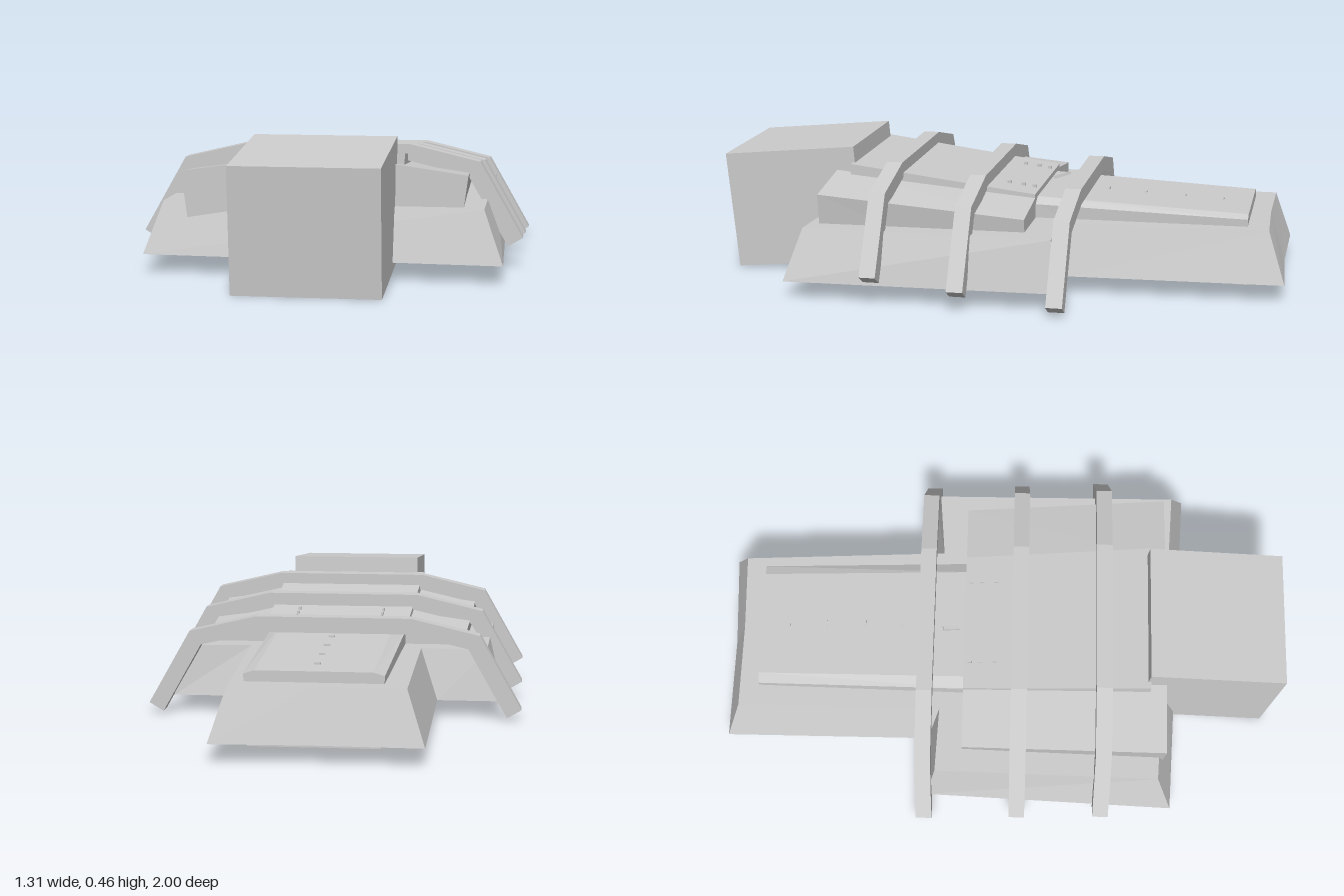
import * as THREE from 'three';

const grey = new THREE.MeshStandardMaterial({ color: 0xcccccc });
grey.name = 'plain grey';

// Solid between two matching loops, counter-clockwise when seen from loop b's end.
// flat() projects a point to the plane of the caps.
function loft(a, b, flat) {
  const pos = [];
  const tri = (p, q, r) => pos.push(...p, ...q, ...r);
  const n = a.length;
  for (let i = 0; i < n; i++) {
    const j = (i + 1) % n;
    tri(a[i], a[j], b[j]);
    tri(a[i], b[j], b[i]);
  }
  const cap = (loop, up) => {
    const pts = loop.map(flat);
    for (const [i, j, k] of THREE.ShapeUtils.triangulateShape(pts, [])) {
      const ccw = THREE.ShapeUtils.area([pts[i], pts[j], pts[k]]) > 0;
      if (ccw === up) tri(loop[i], loop[j], loop[k]);
      else tri(loop[i], loop[k], loop[j]);
    }
  };
  cap(a, false);
  cap(b, true);
  const g = new THREE.BufferGeometry();
  g.setAttribute('position', new THREE.Float32BufferAttribute(pos, 3));
  g.computeVertexNormals();
  return g;
}
const fromAbove = (p) => new THREE.Vector2(p[0], -p[2]);
const fromFront = (p) => new THREE.Vector2(p[0], p[1]);

// Symmetric cross-section from its right half, listed bottom to top
function section(half, z) {
  const right = half.map(([x, y]) => [x, y, z]);
  const left = half.map(([x, y]) => [-x, y, z]).reverse();
  return [...right, ...left];
}

export function createModel() {
  const group = new THREE.Group();
  const add = (name, geo) => {
    const m = new THREE.Mesh(geo, grey);
    m.name = name;
    group.add(m);
    return m;
  };
  const box = (name, w, h, d, x, y, z, rx = 0, ry = 0) => {
    const m = add(name, new THREE.BoxGeometry(w, h, d));
    m.position.set(x, y, z);
    m.rotation.set(rx, ry, 0);
    return m;
  };

  // Bevelled T-shaped base, slightly skewed
  const bottom = [[-0.605, 0.62], [0.60, 0.68], [0.57, -0.26], [0.35, -0.26],
    [0.32, -1.0], [0, -0.985], [-0.36, -0.99], [-0.36, -0.26], [-0.57, -0.26]];
  const top = [[-0.545, 0.565], [0.535, 0.625], [0.53, -0.235], [0.30, -0.215],
    [0.265, -0.94], [0, -0.932], [-0.30, -0.935], [-0.30, -0.215], [-0.53, -0.225]];
  add('base', loft(bottom.map(([x, z]) => [x, 0.065, z]),
    top.map(([x, z]) => [x, 0.24, z]), fromAbove));

  // Wide deck with sloping shoulders, falling towards the back
  add('deck', loft(
    section([[0.24, 0.068], [0.42, 0.052], [0.455, 0.285], [0.25, 0.312]], -0.13),
    section([[0.24, 0.145], [0.455, 0.155], [0.48, 0.345], [0.24, 0.379]], 0.587),
    fromFront));

  // Raised middle panel of the deck
  add('deckPanel', loft(
    section([[0.25, 0.2], [0.25, 0.325]], -0.13),
    section([[0.265, 0.25], [0.265, 0.408]], 0.53), fromFront));

  // Narrow rear deck, reaching through the base
  add('rearDeck', loft(
    section([[0.215, 0.03], [0.225, 0.265], [0.19, 0.276]], -0.865),
    section([[0.235, 0.06], [0.24, 0.288], [0.2, 0.308]], -0.12), fromFront));

  // Tilted block at the front
  box('frontBlock', 0.48, 0.417, 0.478, 0, 0.2345, 0.745, 0.0945);

  // Three arched ribs, each lower than the one before
  const outer = [[0.653, 0.11], [0.507, 0.367], [0.27, 0.423]];
  const inner = [[0.26, 0.368], [0.467, 0.32], [0.603, 0.08]];
  const mirror = (pts) => pts.map(([x, y]) => [-x, y]).reverse();
  const arch = [...outer, ...mirror(outer), ...mirror(inner), ...inner];
  [[0.367, 0], [0.068, -0.033], [-0.267, -0.067]].forEach(([z, drop]) => {
    const shape = new THREE.Shape(arch.map(([x, y]) => new THREE.Vector2(x, y)));
    const g = new THREE.ExtrudeGeometry(shape, { depth: 0.056, bevelEnabled: false });
    g.translate(0, drop, z - 0.028);
    add('rib', g);
  });

  // Small studs along the rear deck and on both sides of the main deck
  for (const z of [-0.765, -0.63, -0.49, -0.355]) {
    box('rearStud', 0.022, 0.008, 0.006, 0, 0.278 + (z + 0.865) * 0.043, z);
  }
  for (const x of [-0.152, 0.152]) {
    for (const z of [-0.11, -0.07, -0.02]) {
      box('deckStud', 0.008, 0.014, 0.014, x, 0.328 + (z + 0.13) * 0.126, z);
    }
  }

  // Short lever behind the deck
  box('lever', 0.012, 0.01, 0.06, -0.028, 0.334, -0.178, 0.3, 0.15);

  return group;
}
